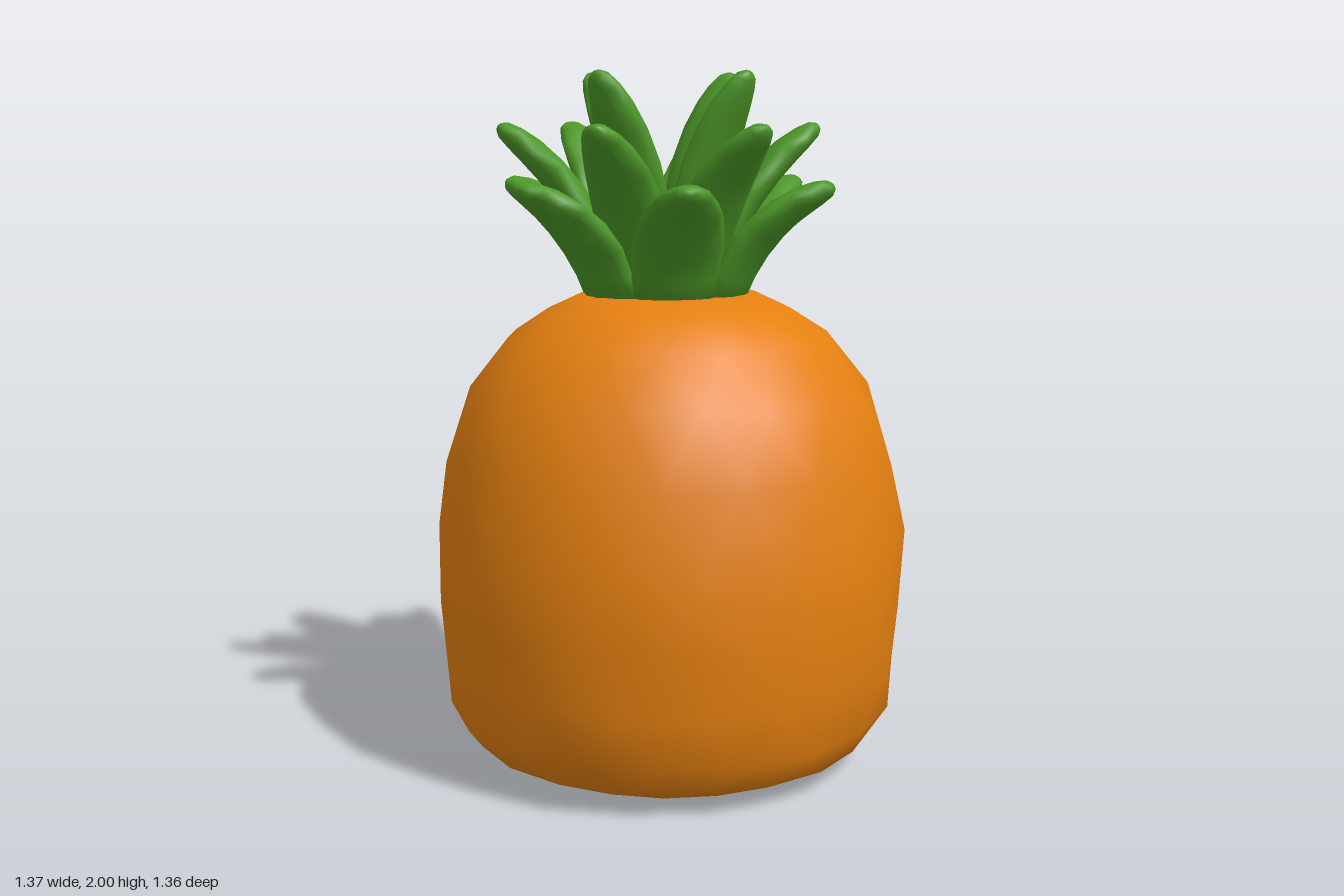
import * as THREE from 'three';

// Skin stacked rings of equal point count, closing both ends with a centre point
function skin(rings, start, end) {
  const n = rings[0].length, pos = [], idx = [];
  rings.forEach(ring => ring.forEach(p => pos.push(p.x, p.y, p.z)));
  for (let i = 0; i < rings.length - 1; i++) {
    for (let j = 0; j < n; j++) {
      const k = (j + 1) % n;
      const a = i * n + j, b = i * n + k, c = a + n, d = b + n;
      // alternate the diagonal so staggered rows form diamonds
      if (i % 2) idx.push(a, d, c, a, b, d);
      else idx.push(a, b, c, b, d, c);
    }
  }
  const s = pos.length / 3, last = (rings.length - 1) * n;
  pos.push(start.x, start.y, start.z, end.x, end.y, end.z);
  for (let j = 0; j < n; j++) {
    const k = (j + 1) % n;
    idx.push(s, k, j, s + 1, last + j, last + k);
  }
  const g = new THREE.BufferGeometry();
  g.setAttribute('position', new THREE.Float32BufferAttribute(pos, 3));
  g.setIndex(idx);
  g.computeVertexNormals();
  return g;
}

// Fruit: staggered rings with a slight bumpiness
function fruitGeometry() {
  const profile = [[0.43, 0], [0.57, 0.06], [0.643, 0.16], [0.662, 0.3], [0.68, 0.47], [0.685, 0.67],
    [0.643, 0.9], [0.58, 1.1], [0.465, 1.25], [0.35, 1.325], [0.25, 1.37]];
  const n = 18;
  const rings = profile.map(([r, y], i) => Array.from({ length: n }, (_, j) => {
    const a = (j + (i % 2) / 2) / n * Math.PI * 2;
    const body = i > 1 && i < 8 ? 1 : 0;
    const bump = body * 0.007 * Math.sin(j * 2.4 + i * 1.7);
    const lift = body * 0.012 * Math.sin(j * 1.9 + i * 2.3);
    return new THREE.Vector3((r + bump) * Math.sin(a), y + lift, (r + bump) * Math.cos(a));
  }));
  return skin(rings, new THREE.Vector3(0, 0, 0), new THREE.Vector3(0, 1.38, 0));
}

// Leaf: flattened oval sections along a curve bending outward along +z
function leafGeometry(base, bend, tip, scale) {
  const v = ([r, y]) => new THREE.Vector3(0, y, r);
  const curve = new THREE.QuadraticBezierCurve3(v(base), v(bend), v(tip));
  const sections = [[0, 0.11, 0.035], [0.15, 0.122, 0.04], [0.32, 0.128, 0.045], [0.5, 0.123, 0.047],
    [0.66, 0.109, 0.045], [0.8, 0.087, 0.041], [0.9, 0.065, 0.034], [0.965, 0.043, 0.025], [0.993, 0.02, 0.012]];
  const n = 12;
  const rings = sections.map(([t, w, d]) => {
    const c = curve.getPoint(t), tan = curve.getTangent(t);
    const out = new THREE.Vector3(0, -tan.z, tan.y);
    return Array.from({ length: n }, (_, j) => {
      const a = j / n * Math.PI * 2, x = Math.sin(a) * w * scale;
      // edges curl slightly towards the crown centre
      const off = Math.cos(a) * d - 0.9 * x * x;
      return c.clone().addScaledVector(out, off).setX(x);
    });
  });
  return skin(rings, curve.getPoint(0), curve.getPoint(1));
}

export function createModel() {
  const orange = new THREE.MeshStandardMaterial({ color: 0xe58010 });
  orange.name = 'fruit orange';
  const green = new THREE.MeshStandardMaterial({ color: 0x4c9727 });
  green.name = 'leaf green';

  const model = new THREE.Group();
  model.name = 'pineapple';
  const add = (parent, geometry, material, name) => {
    const mesh = new THREE.Mesh(geometry, material);
    mesh.name = name;
    parent.add(mesh);
    return mesh;
  };

  add(model, fruitGeometry(), orange, 'fruit');

  // Crown: three tiers of leaves around a short core
  const crown = new THREE.Group();
  crown.name = 'crown';
  model.add(crown);
  add(crown, new THREE.CylinderGeometry(0.1, 0.18, 0.11, 16), green, 'crownCore').position.set(0, 1.425, -0.03);

  const tiers = [
    { name: 'lowerLeaf', count: 6, turn: 30, x: -0.01, z: -0.01, base: [0.2, 1.36], bend: [0.27, 1.6], tip: [0.505, 1.68], scale: 1 },
    { name: 'middleLeaf', count: 6, turn: 0, x: 0, z: -0.045, base: [0.14, 1.37], bend: [0.21, 1.68], tip: [0.465, 1.845], scale: 0.9 },
    { name: 'upperLeaf', count: 4, turn: 12, x: 0.035, z: -0.06, base: [0.07, 1.38], bend: [0.14, 1.78], tip: [0.3, 1.995], scale: 0.85 },
  ];
  for (const t of tiers) {
    const geometry = leafGeometry(t.base, t.bend, t.tip, t.scale);
    for (let i = 0; i < t.count; i++) {
      const leaf = add(crown, geometry, green, t.name);
      leaf.position.set(t.x, 0, t.z);
      leaf.rotation.y = THREE.MathUtils.degToRad(t.turn + i * 360 / t.count);
    }
  }
  return model;
}
